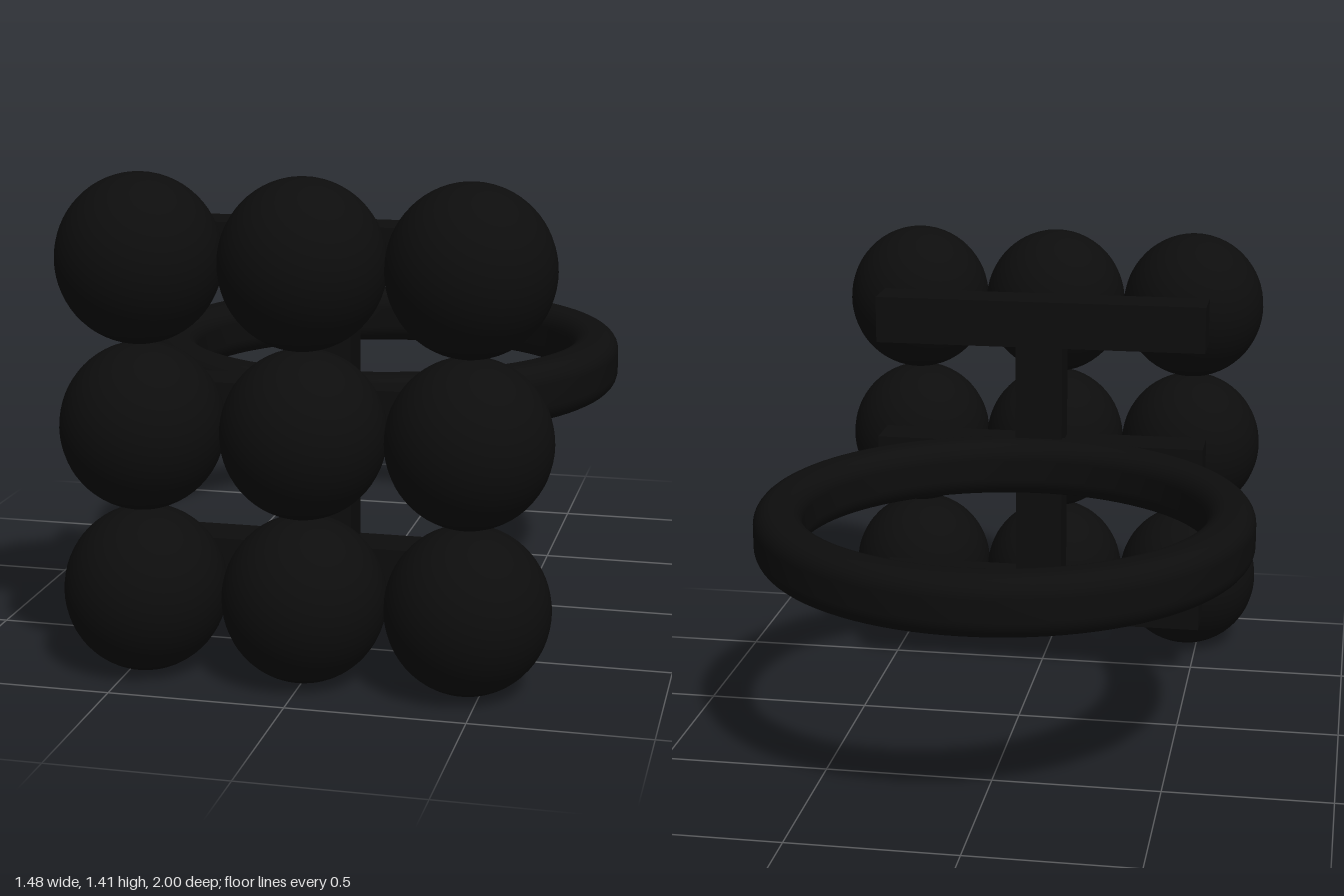
import * as THREE from 'three';

export function createModel() {
  const model = new THREE.Group();
  model.name = 'beadRing';
  const black = new THREE.MeshStandardMaterial({ color: 0x0d0d0d });
  black.name = 'black';

  const add = (name, geometry, x, y, z) => {
    const mesh = new THREE.Mesh(geometry, black);
    mesh.name = name;
    mesh.position.set(x, y, z);
    model.add(mesh);
    return mesh;
  };

  // Three rows of three beads, each row on a horizontal bar
  const bead = new THREE.SphereGeometry(0.23, 48, 32);
  const bar = new THREE.BoxGeometry(1.06, 0.148, 0.145);
  const rows = [0.236, 0.706, 1.176];
  rows.forEach((y) => {
    for (const x of [-0.46, 0, 0.46]) add('bead', bead, x, y, 0.77).scale.y = 1.025;
  });
  [0.245, 0.709, 1.172].forEach((y) => add('crossBar', bar, 0, y, 0.471));

  // Upright joining the bars
  add('upright', new THREE.BoxGeometry(0.15, 0.93, 0.125), 0, 0.709, 0.463);

  // Finger band: rounded rectangular section turned about a vertical axis
  const halfW = 0.072, halfH = 0.089, r = 0.058, middle = 0.666;
  const profile = [new THREE.Vector2(middle + halfW, 0)];
  [[1, 1], [-1, 1], [-1, -1], [1, -1]].forEach(([sx, sy], corner) => {
    for (let i = 0; i <= 8; i++) {
      const a = (corner + i / 8) * Math.PI / 2;
      profile.push(new THREE.Vector2(
        middle + sx * (halfW - r) + r * Math.cos(a),
        sy * (halfH - r) + r * Math.sin(a)));
    }
  });
  profile.push(profile[0].clone());
  add('band', new THREE.LatheGeometry(profile, 96), 0, 0.709, -0.262);

  return model;
}
